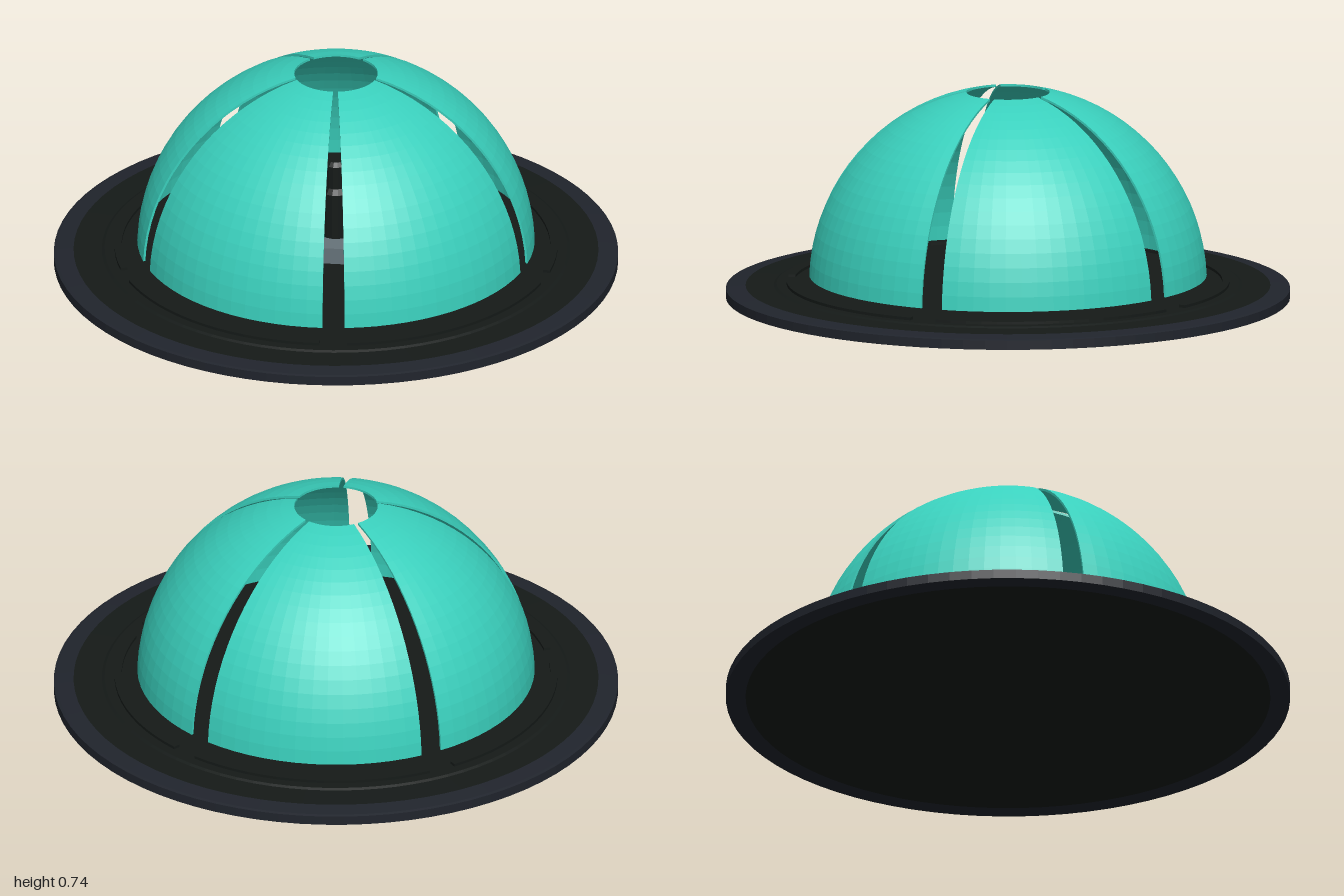
import * as THREE from 'three';

const mat = (color, extra = {}) => new THREE.MeshStandardMaterial({ color, ...extra });
const v2 = (x, y) => new THREE.Vector2(x, y);
const rad = THREE.MathUtils.degToRad;

export function createModel() {
  const model = new THREE.Group();
  const black = mat(0x151a18, { flatShading: true });
  const navy = mat(0x20242c, { flatShading: true });
  const grey = mat(0x66737a, { flatShading: true });
  const teal = mat(0x3ad0bd, { flatShading: true, side: THREE.DoubleSide });

  const add = (name, geometry, material, parent = model) => {
    const mesh = new THREE.Mesh(geometry, material);
    mesh.name = name;
    parent.add(mesh);
    return mesh;
  };

  // Base: a thin dark plate inside a sloped outer rim
  add('basePlate', new THREE.LatheGeometry([
    v2(0, 0), v2(0.93, 0), v2(0.93, 0.043), v2(0.83, 0.045), v2(0.82, 0.05), v2(0, 0.05),
  ], 80), black);
  add('baseRim', new THREE.LatheGeometry([
    v2(0.93, 0), v2(1, 0), v2(1, 0.033), v2(0.99, 0.036), v2(0.93, 0.043),
  ], 80), navy);

  // Centre bolt: hexagonal nut with a stepped stud
  const nut = add('hexNut', new THREE.CylinderGeometry(0.152, 0.152, 0.06, 6), grey);
  nut.position.y = 0.08;
  add('stud', new THREE.LatheGeometry([
    v2(0.055, 0.1), v2(0.055, 0.28), v2(0.042, 0.3), v2(0.042, 0.385), v2(0.03, 0.4), v2(0, 0.4),
  ], 16), black);

  // Dome wall section: a thin arc cut off at the rim and at the top hole
  const radius = 0.705, centreY = 0.05, wall = 0.008, rows = 18;
  const arc = (r) => {
    const a0 = Math.asin((0.08 - centreY) / r), a1 = Math.acos(0.148 / r);
    return Array.from({ length: rows + 1 }, (_, i) => {
      const a = a0 + (a1 - a0) * i / rows;
      return v2(r * Math.cos(a), centreY + r * Math.sin(a));
    });
  };
  const outer = arc(radius), inner = arc(radius - wall).reverse();
  const section = [...outer, ...inner];
  const closed = [...section, outer[0].clone()];

  // Five dome panels separated by narrow slots, each with a ridge on the base
  const halfPanel = rad(32.8), halfRidge = rad(32.4);
  const ridgeProfile = [v2(0.785, 0.045), v2(0.785, 0.06), v2(0.76, 0.06), v2(0.76, 0.045)];
  const sector = (profile, half, segments) =>
    new THREE.LatheGeometry(profile, segments, -half, 2 * half);
  const endCaps = (name, profile, half, material, parent) => {
    for (const side of [-1, 1]) {
      const cap = add(name, new THREE.ShapeGeometry(new THREE.Shape(profile)), material, parent);
      cap.rotation.y = side * half - Math.PI / 2;
    }
  };
  const ridgeMaterial = mat(0x151a18, { flatShading: true, side: THREE.DoubleSide });
  for (let i = 0; i < 5; i++) {
    const segment = new THREE.Group();
    segment.name = 'domeSegment';
    segment.rotation.y = i * Math.PI * 2 / 5;
    add('domePanel', sector(closed, halfPanel, 14), teal, segment);
    endCaps('domePanelEdge', section, halfPanel, teal, segment);
    add('baseRidge', sector(ridgeProfile, halfRidge, 16), ridgeMaterial, segment);
    endCaps('baseRidgeEnd', ridgeProfile, halfRidge, ridgeMaterial, segment);
    model.add(segment);
  }
  return model;
}
